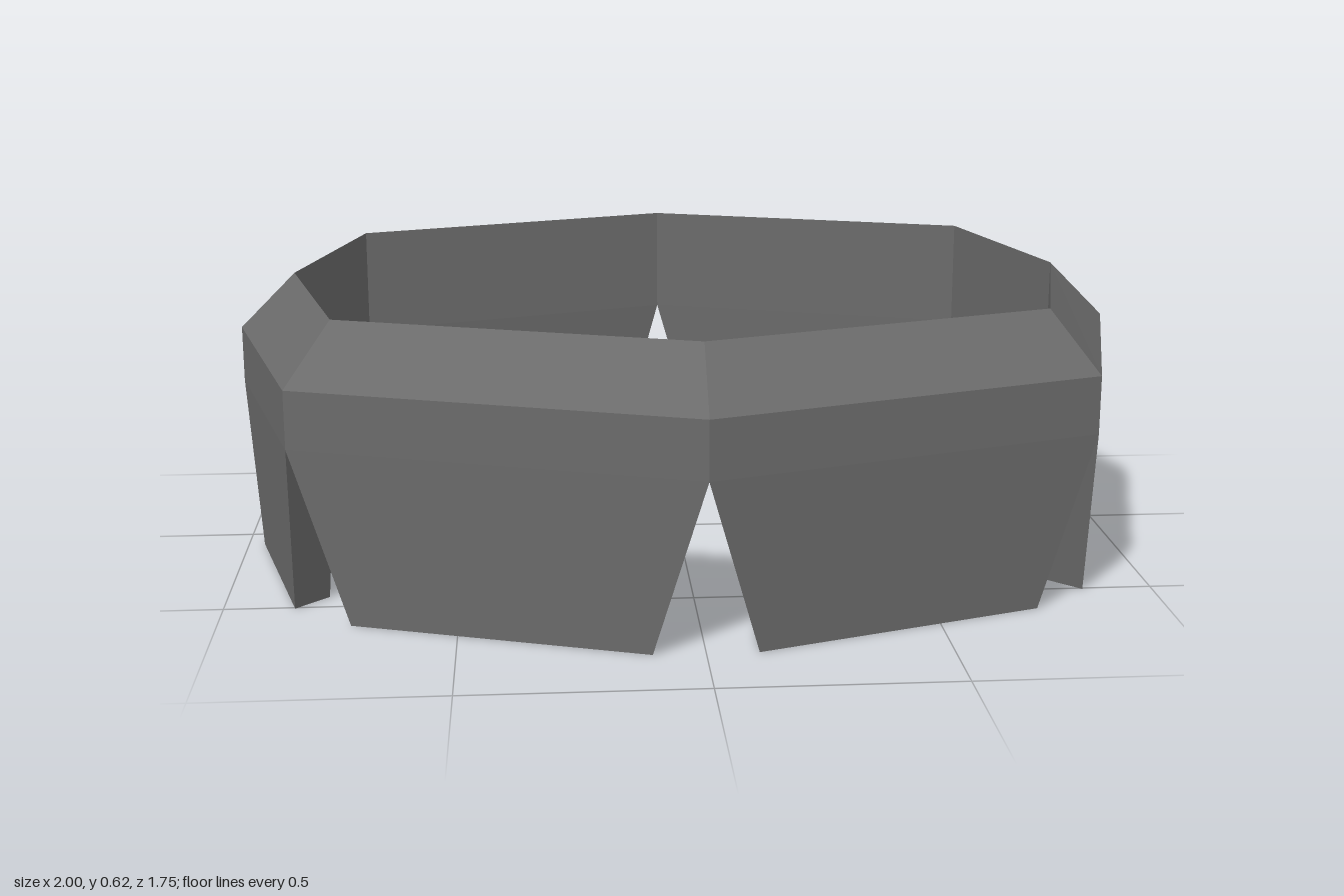
import * as THREE from 'three';

// Plan corners [x, z], walking from +x towards +z
const OUTER = mirrorPlan([1, 0], [0.842, 0.592], [0, 0.874]);
const INNER = mirrorPlan([0.875, 0], [0.75, 0.5], [0, 0.75]);
const Y_NOTCH = 0.375, Y_OUTER = 0.5, Y_INNER = 0.625, TAPER = 0.73;

// Mirror a quarter plan into the full eight-cornered ring
function mirrorPlan([ax, az], [bx, bz], [cx, cz]) {
  return [[ax, az], [bx, bz], [cx, cz], [-bx, bz], [-ax, -az], [-bx, -bz], [cx, -cz], [bx, -bz]];
}

// Flat-shaded mesh from a list of four-cornered faces
function quadMesh(name, quads, material) {
  const points = quads.flatMap(([a, b, c, d]) => [a, b, c, a, c, d]);
  const geometry = new THREE.BufferGeometry().setFromPoints(points);
  geometry.computeVertexNormals();
  const mesh = new THREE.Mesh(geometry, material);
  mesh.name = name;
  return mesh;
}

const at = ([x, z], y) => new THREE.Vector3(x, y, z);

export function createModel() {
  const group = new THREE.Group();
  group.name = 'notchedRing';
  const material = new THREE.MeshStandardMaterial({ color: 0x6b6b6b, flatShading: true });

  for (let i = 0; i < 8; i++) {
    const j = (i + 1) % 8;
    const corners = [OUTER[i], OUTER[j], INNER[j], INNER[i]];
    const [oa, ob, ib, ia] = corners.map((p) => at(p, Y_NOTCH));
    const [ta, tb] = [OUTER[i], OUTER[j]].map((p) => at(p, Y_OUTER));
    const [ua, ub] = [INNER[i], INNER[j]].map((p) => at(p, Y_INNER));

    // Foot of the tooth: the same outline shrunk about its centre
    const centre = new THREE.Vector3();
    [oa, ob, ib, ia].forEach((p) => centre.addScaledVector(p, 0.25));
    const [foa, fob, fib, fia] = [oa, ob, ib, ia].map((p) => {
      const q = centre.clone().lerp(p, TAPER);
      q.y = 0;
      return q;
    });

    const segment = new THREE.Group();
    segment.name = `segment${i + 1}`;
    // Continuous band with a sloping top
    segment.add(quadMesh('band', [
      [ob, oa, ta, tb],
      [tb, ta, ua, ub],
      [ia, ib, ub, ua],
    ], material));
    // Tapered tooth below the band
    segment.add(quadMesh('tooth', [
      [fob, foa, oa, ob],
      [fia, fib, ib, ia],
      [foa, fia, ia, oa],
      [fib, fob, ob, ib],
      [fib, fia, foa, fob],
    ], material));
    group.add(segment);
  }
  return group;
}
